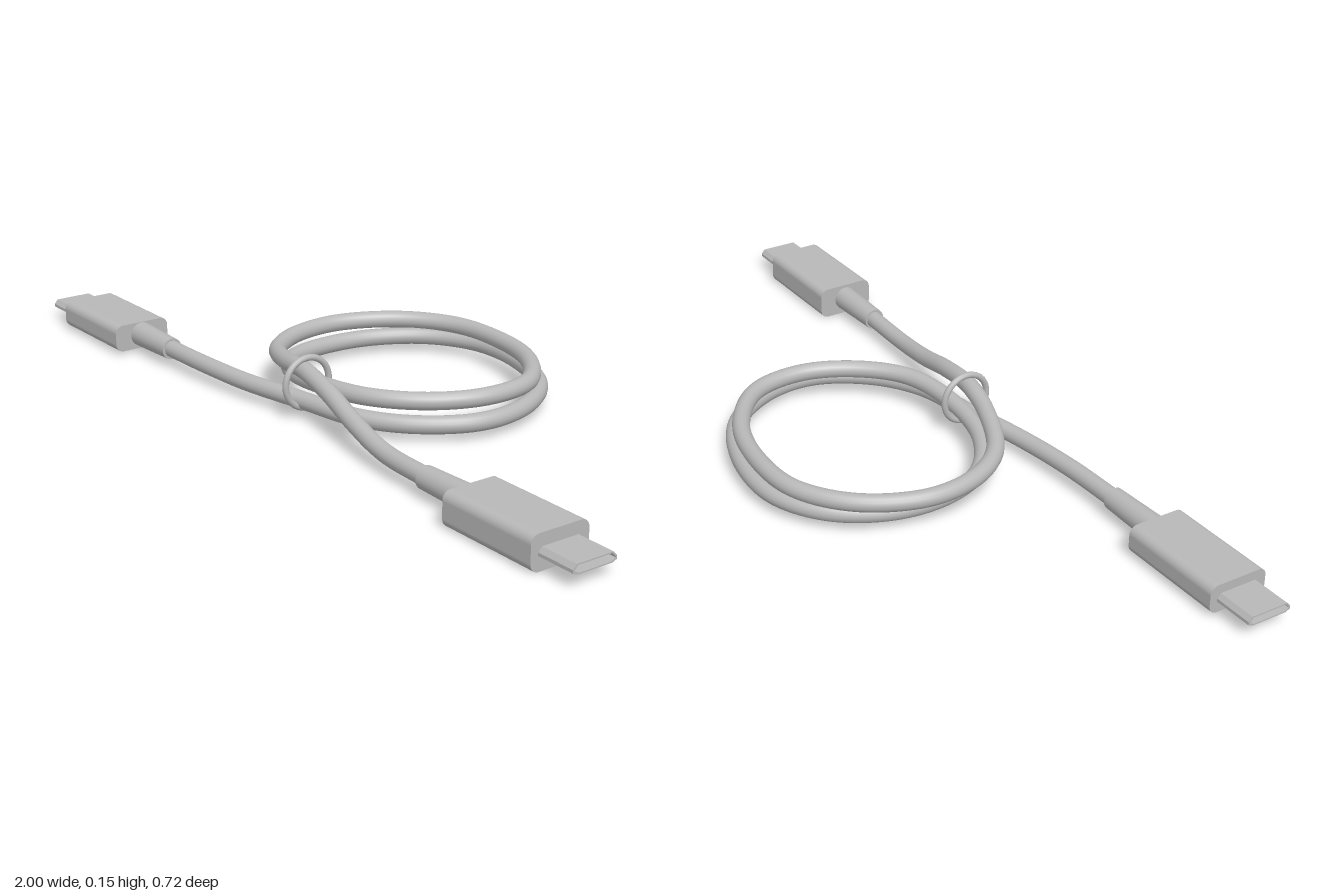
import * as THREE from 'three';

const grey = new THREE.MeshStandardMaterial({ color: 0xb8b8b8 });
grey.name = 'cable grey';

function part(name, geometry, parent) {
  const mesh = new THREE.Mesh(geometry, grey);
  mesh.name = name;
  parent.add(mesh);
  return mesh;
}

// Extrude a (side, height) outline along +x from x0 to x1
function extrudeX(shape, x0, x1) {
  const g = new THREE.ExtrudeGeometry(shape, { depth: x1 - x0, bevelEnabled: false, curveSegments: 6 });
  g.rotateY(Math.PI / 2);
  g.translate(x0, 0, 0);
  return g;
}

function roundedRect(w, h, r) {
  const s = new THREE.Shape();
  const x = w / 2 - r, y = h / 2 - r;
  s.absarc(x, y, r, 0, Math.PI / 2);
  s.absarc(-x, y, r, Math.PI / 2, Math.PI);
  s.absarc(-x, -y, r, Math.PI, Math.PI * 1.5);
  s.absarc(x, -y, r, Math.PI * 1.5, Math.PI * 2);
  s.closePath();
  return s;
}

// Metal tip outline with sloping upper corners, inset by d
function tipOutline(d) {
  return [[-0.043, -0.011], [0.043, -0.011], [0.054, -0.006], [0.054, 0.001], [0.045, 0.011],
    [-0.045, 0.011], [-0.054, 0.001], [-0.054, -0.006]]
    .map(([x, y]) => new THREE.Vector2(x - Math.sign(x) * d, y - Math.sign(y) * d));
}

// A plug pointing along +x, its axis at y = 0, z = 0
function makePlug(name, height) {
  const plug = new THREE.Group();
  plug.name = name;
  part('plugBody', extrudeX(roundedRect(0.144, height, 0.02), 0.645, 0.905), plug);

  // strain relief, slightly tapered
  const relief = new THREE.CylinderGeometry(0.03, 0.026, 0.15, 24);
  relief.rotateZ(-Math.PI / 2);
  part('strainRelief', relief, plug).position.set(0.575, 0.002, 0);

  // open metal shell with a contact tongue inside
  const shell = new THREE.Shape(tipOutline(0));
  shell.holes.push(new THREE.Path(tipOutline(0.003)));
  part('metalShell', extrudeX(shell, 0.9, 1), plug);
  part('contactTongue', new THREE.BoxGeometry(0.085, 0.005, 0.07), plug).position.set(0.945, 0.003, 0);
  for (let i = -2; i <= 2; i++) {
    part('contactPin', new THREE.BoxGeometry(0.08, 0.002, 0.006), plug).position.set(0.945, 0, i * 0.013);
  }
  for (const side of [-1, 1]) {
    part('latchHook', new THREE.BoxGeometry(0.012, 0.004, 0.006), plug).position.set(0.965, -0.0125, side * 0.034);
  }
  return plug;
}

export function createModel() {
  const model = new THREE.Group();
  model.name = 'coiledCable';

  const leftPlug = makePlug('leftPlug', 0.078);
  leftPlug.position.set(0, 0.04, 0.287);
  const rightPlug = makePlug('rightPlug', 0.066);
  rightPlug.rotation.y = Math.PI;
  rightPlug.position.set(0, 0.04, 0.28);
  model.add(leftPlug, rightPlug);

  // cable path: lead in, lower turn, upper turn, hump over the crossing, lead out
  const path = new THREE.CatmullRomCurve3([
    [-0.52, 0.042, 0.28], [-0.35, 0.042, 0.276], [-0.2, 0.04, 0.262], [-0.02, 0.04, 0.228],
    [0.14, 0.04, 0.195], [0.25, 0.04, 0.12], [0.32, 0.04, 0], [0.31, 0.04, -0.13],
    [0.22, 0.04, -0.26], [0.06, 0.04, -0.332], [-0.1, 0.04, -0.338], [-0.22, 0.04, -0.27],
    [-0.29, 0.04, -0.15], [-0.3, 0.042, -0.02], [-0.26, 0.048, 0.09], [-0.15, 0.06, 0.168],
    [0, 0.073, 0.188], [0.14, 0.08, 0.16], [0.24, 0.08, 0.07], [0.29, 0.08, -0.05],
    [0.27, 0.079, -0.18], [0.15, 0.078, -0.285], [0, 0.077, -0.325], [-0.15, 0.077, -0.315],
    [-0.27, 0.078, -0.23], [-0.335, 0.079, -0.09], [-0.32, 0.08, 0.04], [-0.25, 0.083, 0.14],
    [-0.12, 0.1, 0.203], [-0.02, 0.112, 0.225], [0.1, 0.096, 0.242], [0.22, 0.066, 0.26],
    [0.35, 0.045, 0.278], [0.52, 0.042, 0.287],
  ].map((p) => new THREE.Vector3(...p)));
  part('cable', new THREE.TubeGeometry(path, 320, 0.0205, 16, false), model);

  // tie ring around the crossing strands
  const ring = new THREE.TorusGeometry(0.058, 0.0075, 12, 40);
  ring.rotateY(Math.PI / 2);
  const tie = part('tieRing', ring, model);
  tie.position.set(-0.018, 0.081, 0.217);

  return model;
}
